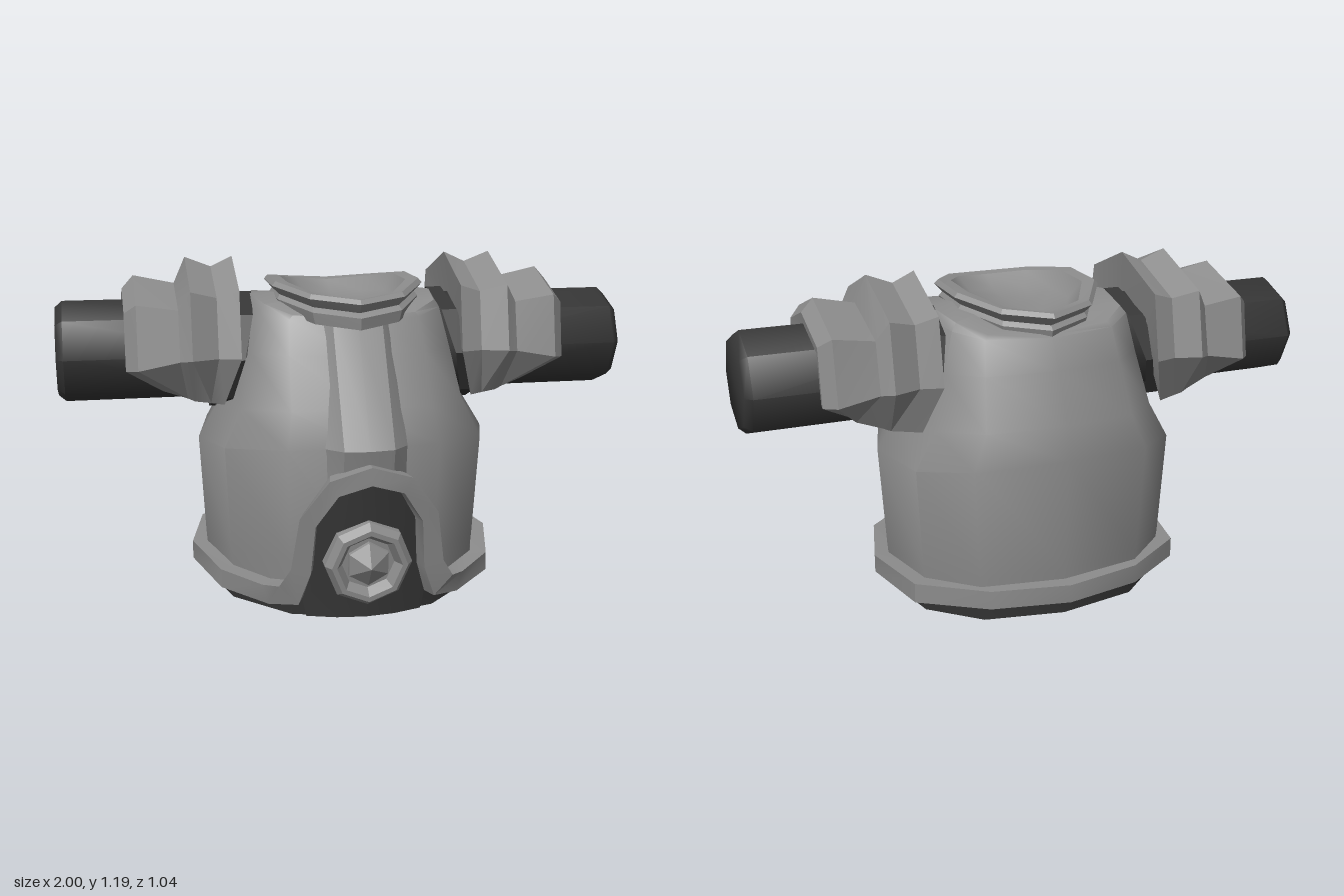
import * as THREE from 'three';
import { toCreasedNormals } from 'three/addons/utils/BufferGeometryUtils.js';

const armour = new THREE.MeshStandardMaterial({ color: 0x8c8c8c, side: THREE.DoubleSide });
armour.name = 'armour grey';
const under = new THREE.MeshStandardMaterial({ color: 0x363636, side: THREE.DoubleSide });
under.name = 'undersuit charcoal';

// Skins a list of cross-sections, each a list of [x, y, z]
function loft(rings, { closeRing = true, closePath = false, crease = 0.65 } = {}) {
  const pos = [];
  const v = (p) => new THREE.Vector3(...p);
  const tri = (a, b, c) => {
    const area = v(b).sub(v(a)).cross(v(c).sub(v(a))).length();
    if (area > 1e-7) pos.push(...a, ...b, ...c);
  };
  const n = rings[0].length;
  for (let i = 0; i < rings.length - (closePath ? 0 : 1); i++) {
    const lo = rings[i], hi = rings[(i + 1) % rings.length];
    for (let j = 0; j < n - (closeRing ? 0 : 1); j++) {
      const k = (j + 1) % n;
      tri(lo[j], lo[k], hi[j]);
      tri(lo[k], hi[k], hi[j]);
    }
  }
  const g = new THREE.BufferGeometry();
  g.setAttribute('position', new THREE.Float32BufferAttribute(pos, 3));
  return toCreasedNormals(g, crease);
}

// Horizontal oval ring with separate front and back reach; powers below 1 make that half boxier
function oval(n, rx, front, back, yAt, frontPower = 1, backPower = frontPower) {
  const zc = (front + back) / 2, rz = (front - back) / 2;
  return Array.from({ length: n }, (_, i) => {
    const t = (i / n) * Math.PI * 2, c = Math.cos(t);
    const bend = (s) => Math.sign(s) * Math.abs(s) ** (c < 0 ? backPower : frontPower);
    const z = zc + rz * bend(c);
    return [rx * bend(Math.sin(t)), yAt(c, z), z];
  });
}

function add(parent, name, geometry, material) {
  const mesh = new THREE.Mesh(geometry, material);
  mesh.name = name;
  parent.add(mesh);
}

function makeArm(name) {
  const arm = new THREE.Group();
  arm.name = name;
  const cy = 0.87, cz = -0.06;
  const ring = (xAt, ry, rz, y0 = cy) => Array.from({ length: 8 }, (_, i) => {
    const t = (i / 8) * Math.PI * 2, y = y0 + ry * Math.cos(t);
    return [xAt(y), y, cz + rz * Math.sin(t)];
  });

  // Arm stub with bevelled end
  add(arm, 'upperArm', loft([
    [0.3, 0.177, 0.19], [0.975, 0.177, 0.19], [1, 0.155, 0.167], [1, 0, 0],
  ].map(([x, ry, rz]) => ring(() => x, ry, rz)), { crease: 0.9 }), under);

  // Slanted joint ring against the body
  const slant = (x) => (y) => x + (1.06 - y) * 0.25;
  add(arm, 'shoulderJoint', loft([
    ring(slant(0.32), 0.205, 0.24, 0.86), ring(slant(0.375), 0.205, 0.24, 0.86),
    ring(slant(0.375), 0.1, 0.1, 0.86),
  ]), under);

  // Ridged pad, open underneath and hugging the arm there: x, height, half depth, lower edge y
  const angles = [-135, -90, -45, 0, 45, 90, 135];
  const pad = [
    [0.40, 0.17, 0.18, 0.73], [0.385, 0.32, 0.285, 0.7], [0.46, 0.285, 0.265, 0.705],
    [0.55, 0.32, 0.297, 0.71], [0.59, 0.23, 0.265, 0.72], [0.73, 0.26, 0.27, 0.745],
    [0.77, 0.215, 0.225, 0.765], [0.765, 0.175, 0.185, 0.78],
  ].map(([x, ry, rz, low]) => angles.map((deg) => {
    const t = THREE.MathUtils.degToRad(deg), zc = deg === 0 ? cz : cz - 0.015;
    if (Math.abs(deg) > 100) return [0.52 + (x - 0.52) * 0.6, low, zc + Math.sign(deg) * (0.21 - (x - 0.385) * 0.16)];
    const sag = Math.abs(deg) === 90 ? Math.max(0, x - 0.55) * 0.18 : 0;
    return [x, cy + ry * Math.cos(t) - sag, zc + rz * Math.sin(t) * (Math.abs(deg) === 45 ? 1.2 : 1)];
  }));
  add(arm, 'shoulderPad', loft(pad, { closeRing: false, crease: 0.3 }), armour);
  return arm;
}

export function createModel() {
  const model = new THREE.Group();
  model.name = 'armouredTorso';

  // Chest shell: y, half width, front z, back z, rise at front and back, boxiness of each half
  add(model, 'chestShell', loft([
    [0.08, 0.49, 0.41, -0.46, 0, 1, 0.8], [0.2, 0.5, 0.425, -0.47, 0, 1, 0.78],
    [0.555, 0.52, 0.455, -0.48, 0.05, 1, 0.75], [0.69, 0.44, 0.4, -0.46, 0.03, 0.88, 0.75],
    [0.88, 0.385, 0.305, -0.385, 0.01, 0.72, 0.68], [1.03, 0.345, 0.24, -0.34, -0.04, 0.62, 0.6],
    [1.06, 0.325, 0.235, -0.325, -0.06, 0.62, 0.6], [1.065, 0.23, 0.23, -0.29, -0.06, 1, 1],
  ].map(([y, rx, f, b, rise, pf, pb]) => oval(12, rx, f, b, (c) => y + rise * c * c, pf, pb)), { crease: 0.8 }), armour);

  // Dark hip base, dipping toward the front
  const baseY = (c, z) => 0.04 - Math.max(0, z) * 0.09;
  add(model, 'hipBase', loft([
    oval(12, 0, -0.02, -0.02, () => 0.035),
    oval(12, 0.495, 0.42, -0.465, baseY, 1, 0.85),
    oval(12, 0.505, 0.43, -0.475, (c, z) => baseY(c, z) + 0.075, 1, 0.85),
  ]), under);

  // Belt trim that climbs into an arch: upper x, y, lower x, y, z
  const half = [
    [0, 0.555, 0, 0.493, 0.517], [0.14, 0.512, 0.11, 0.46, 0.507], [0.235, 0.38, 0.182, 0.35, 0.475],
    [0.262, 0.2, 0.195, 0.18, 0.452], [0.3, 0.138, 0.235, 0.068, 0.435], [0.35, 0.13, 0.33, 0.06, 0.385],
    [0.475, 0.145, 0.475, 0.08, 0.25], [0.55, 0.16, 0.55, 0.096, -0.03], [0.49, 0.17, 0.49, 0.1, -0.315],
    [0.27, 0.17, 0.27, 0.104, -0.465], [0, 0.17, 0, 0.105, -0.52],
  ];
  const stations = [...half, ...half.slice(1, -1).reverse().map(([a, b, c, d, z]) => [-a, b, -c, d, z])];
  add(model, 'beltTrim', loft(stations.map(([xu, yu, xl, yl, z]) => [
    [xu, yu, z], [xl, yl, z], [xl * 0.9, yl, z * 0.86], [xu * 0.9, yu, z * 0.86],
  ]), { closePath: true, crease: 0.5 }), armour);

  // Dark panel inside the arch: y, half width
  add(model, 'frontPanel', loft([
    [0.005, 0.2], [0.1, 0.22], [0.2, 0.21], [0.35, 0.2], [0.46, 0.125], [0.51, 0.03],
  ].map(([y, w]) => [-1, -0.5, 0, 0.5, 1].map((u) => [u * w, y, 0.425 + y * 0.09 - (u * w) ** 2 * 1.1])),
  { closeRing: false }), under);

  // Raised chest band with bevelled sides: y, outer half width, crest z, foot z
  add(model, 'chestBand', loft([
    [0.48, 0.15, 0.46, 0.4], [0.6, 0.145, 0.485, 0.415], [0.99, 0.115, 0.28, 0.225],
  ].map(([y, w, z, foot]) => [
    [-w, y, foot], [-0.085, y, z - 0.01], [0, y, z], [0.085, y, z - 0.01], [w, y, foot],
  ]), { closeRing: false, crease: 0.3 }), armour);

  // Octagonal boss with a pointed centre
  const lathe = (points, sides) => toCreasedNormals(
    new THREE.LatheGeometry(points.map((p) => new THREE.Vector2(...p)), sides).rotateX(Math.PI / 2), 0.3);
  const boss = new THREE.Group();
  boss.name = 'frontBoss';
  boss.position.set(0, 0.21, 0.436);
  boss.rotation.x = 0.1;
  add(boss, 'bossRing', lathe([[0.15, -0.05], [0.15, 0.025], [0.13, 0.052], [0.112, 0.052], [0.09, 0.018], [0, 0.018]], 8), armour);
  add(boss, 'bossPoint', lathe([[0.08, 0.01], [0.077, 0.03], [0, 0.075]], 6), armour);
  model.add(boss);

  // Grooved collar and shallow neck dish: y offset, half width, front z, back z, saddle depth
  const collar = [
    [-0.09, 0.2, 0.23, -0.27, 0.045], [-0.1, 0.245, 0.325, -0.33, 0.045], [-0.06, 0.26, 0.33, -0.34, 0.045],
    [-0.045, 0.25, 0.305, -0.325, 0.045], [-0.015, 0.278, 0.33, -0.357, 0.045], [0, 0.265, 0.315, -0.345, 0.045],
    [-0.005, 0.22, 0.28, -0.31, 0.045], [-0.065, 0.175, 0.22, -0.25, 0.025], [-0.09, 0.09, 0.11, -0.14, 0.01],
    [-0.1, 0, -0.015, -0.015, 0],
  ].map(([dy, rx, f, b, saddle]) => oval(10, rx, f, b, (c) => 1.12 + dy - saddle * c * c));
  add(model, 'collar', loft(collar.slice(0, 7), { crease: 0.35 }), armour);
  add(model, 'neckHollow', loft(collar.slice(6), { crease: 0.9 }), armour);

  // Mirrored arms
  const left = makeArm('leftArm'), right = makeArm('rightArm');
  right.scale.x = -1;
  model.add(left, right);
  return model;
}
